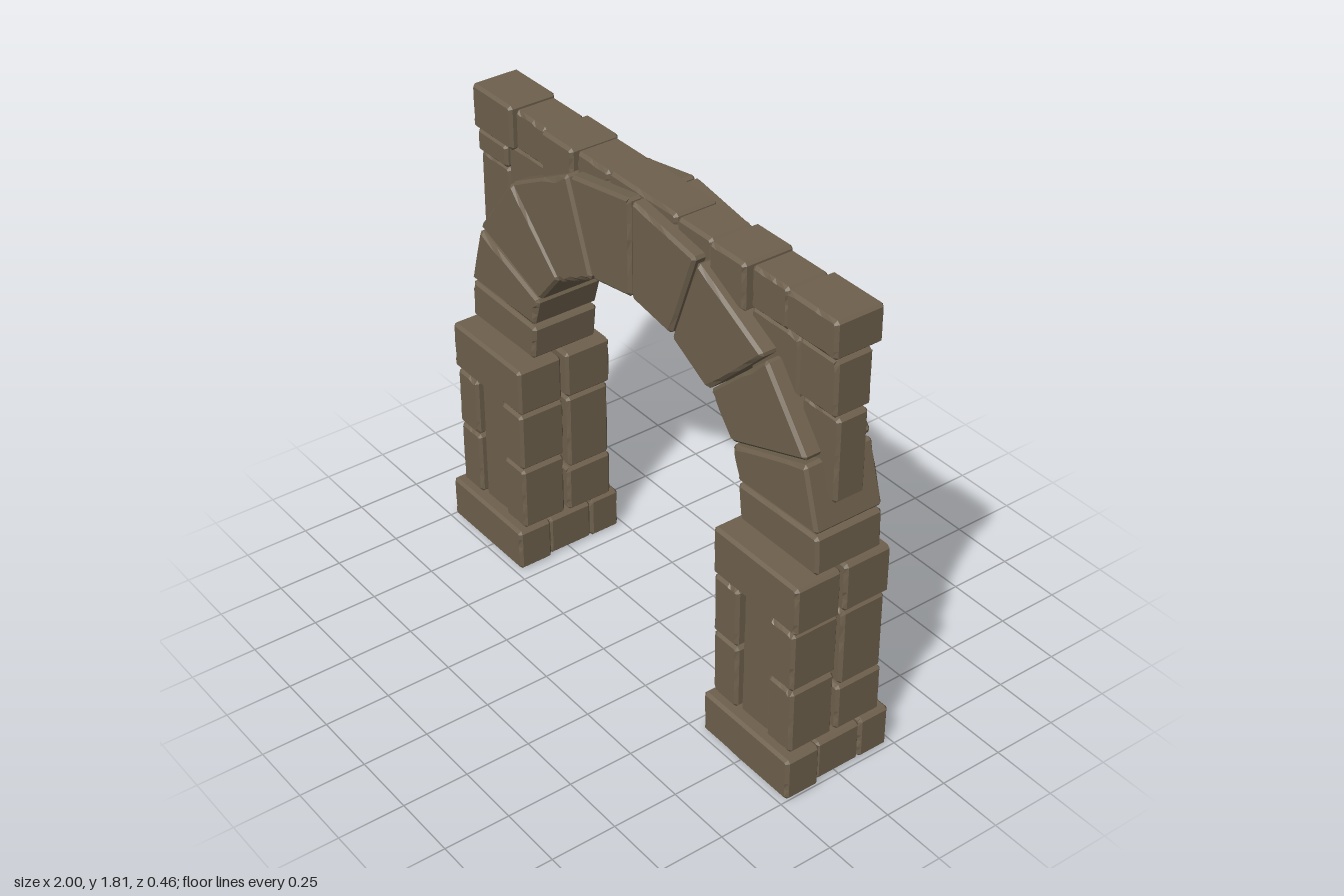
import * as THREE from 'three';

const material = new THREE.MeshStandardMaterial({ color: 0x6e604d, flatShading: true });
const BEVEL = 0.011;

// Repeatable value in 0..1 for a point, so shared corners move together
function hash(x, y, z) {
  const s = Math.sin(Math.round(x * 1000) * 12.9898 + Math.round(y * 1000) * 78.233 + Math.round(z * 1000) * 37.719) * 43758.5453;
  return s - Math.floor(s);
}

// Chamfered stone with chipped edges: polygon in the xy plane, from z0 to z1
function stone(name, corners, z0, z1) {
  const pts = corners.map(([x, y]) => new THREE.Vector2(x, y));
  const outline = [];
  pts.forEach((p, i) => {
    const next = pts[(i + 1) % pts.length];
    const length = p.distanceTo(next);
    const cut = BEVEL / length;
    // corner cuts at both ends, with chip points between them
    const stops = length > 0.1 ? [cut, 0.25, 0.42, 0.58, 0.8, 1 - cut] : [cut, 0.5, 1 - cut];
    stops.forEach((t) => outline.push(p.clone().lerp(next, t)));
  });
  const geometry = new THREE.ExtrudeGeometry(new THREE.Shape(outline), {
    depth: z1 - z0 - 2 * BEVEL, bevelEnabled: true, bevelSegments: 1,
    bevelThickness: BEVEL, bevelSize: BEVEL, bevelOffset: -BEVEL,
  });
  geometry.translate(0, 0, z0 + BEVEL);

  // Chip the rims of the two faces inward here and there
  const centre = pts.reduce((a, p) => a.add(p), new THREE.Vector2()).divideScalar(pts.length);
  const pos = geometry.attributes.position;
  const v = new THREE.Vector2();
  for (let i = 0; i < pos.count; i++) {
    const z = pos.getZ(i);
    if (Math.min(Math.abs(z - z0), Math.abs(z - z1)) > 1e-4) continue;
    v.set(pos.getX(i), pos.getY(i));
    const h = hash(v.x, v.y, z);
    if (h < 0.75) continue;
    const inward = centre.clone().sub(v).normalize().multiplyScalar((h - 0.75) * 0.06);
    pos.setXY(i, v.x + inward.x, v.y + inward.y);
  }
  geometry.computeVertexNormals();
  const mesh = new THREE.Mesh(geometry, material);
  mesh.name = name;
  return mesh;
}

const block = (name, x0, x1, y0, y1, z0, z1) =>
  stone(name, [[x0, y0], [x1, y0], [x1, y1], [x0, y1]], z0, z1);

// Block on either side of the arch, measured outward from the middle
function sideBlock(name, side, inner, outer, y0, y1, z0, z1) {
  const [a, b] = side > 0 ? [inner, outer] : [-outer, -inner];
  return block(name, a, b, y0, y1, z0, z1);
}

function createPillar(side) {
  const pillar = new THREE.Group();
  pillar.name = side > 0 ? 'leftPillar' : 'rightPillar';
  const add = (...args) => pillar.add(sideBlock(args[0], side, ...args.slice(1)));

  // Plinth of three stones
  add('baseFront', 0.55, 1.0, 0, 0.172, 0.087, 0.228);
  add('baseMiddle', 0.56, 0.985, 0.003, 0.165, -0.1, 0.086);
  add('baseBack', 0.56, 0.985, 0, 0.168, -0.228, -0.101);

  // Recessed core
  add('core', 0.69, 0.845, 0.16, 0.72, -0.175, 0.178);

  // Corner stones, with joints at different heights front and back
  for (const [inner, outer] of [[0.56, 0.688], [0.847, 0.972]]) {
    add('frontLowerStone', inner, outer, 0.172, 0.432, 0.015, 0.197);
    add('frontUpperStone', inner, outer, 0.437, 0.675, 0.01, 0.2);
    add('backLowerStone', inner, outer, 0.168, 0.357, -0.195, -0.002);
    add('backUpperStone', inner, outer, 0.362, 0.672, -0.188, -0.008);
  }

  // Two capstones with a gap between them
  add('capFront', 0.557, 0.985, 0.68, 0.87, 0.017, 0.203);
  add('capBack', 0.557, 0.98, 0.677, 0.868, -0.197, -0.004);
  return pillar;
}

// Wedge stones of one half of the arch, from the springer to the crown
const wedges = [
  [[0.975, 0.877], [0.97, 1.027], [0.572, 1.016], [0.588, 0.877]],
  [[0.97, 1.038], [0.902, 1.27], [0.54, 1.146], [0.577, 1.026]],
  [[0.902, 1.285], [0.695, 1.548], [0.42, 1.292], [0.536, 1.153]],
  [[0.685, 1.558], [0.35, 1.735], [0.222, 1.391], [0.41, 1.288]],
  [[0.338, 1.739], [0.004, 1.797], [0.004, 1.428], [0.212, 1.394]],
];

function createArch() {
  const arch = new THREE.Group();
  arch.name = 'arch';
  for (const side of [1, -1]) {
    wedges.forEach((corners, i) => {
      const mirrored = corners.map(([x, y]) => [x * side, y]);
      arch.add(stone(i ? 'archStone' : 'springerStone', mirrored, -0.155, i % 2 ? 0.121 : 0.118));
    });
  }
  return arch;
}

function createWall() {
  const wall = new THREE.Group();
  wall.name = 'wall';
  for (const side of [1, -1]) {
    const low = side > 0 ? 1.67 : 1.64;
    const joint = side > 0 ? 1.45 : 1.54;
    const add = (...args) => wall.add(sideBlock(args[0], side, ...args.slice(1)));
    // Top course
    add('topCornerStone', 0.735, 0.972, low, 1.81, -0.112, 0.08);
    add('topStone', 0.552, 0.728, 1.65, 1.803, -0.1, 0.065);
    add('topStone', 0.367, 0.546, 1.63, 1.808, -0.112, 0.087);
    add('topStone', 0.183, 0.362, 1.65, 1.803, -0.1, 0.07);
    // Spandrel stones between the arch and the top course
    add('spandrelUpperStone', 0.79, 0.968, joint + 0.005, low - 0.006, -0.08, 0.068);
    add('spandrelLowerStone', 0.795, 0.972, 1.13, joint, -0.07, 0.053);
    add('spandrelInnerStone', 0.55, 0.784, 1.42, 1.652, -0.088, 0.06);
  }
  wall.add(block('topMiddleStone', -0.18, 0.18, 1.65, 1.808, -0.1, 0.07));
  return wall;
}

export function createModel() {
  const model = new THREE.Group();
  model.name = 'stoneArchway';
  model.add(createPillar(1), createPillar(-1), createArch(), createWall());
  return model;
}
